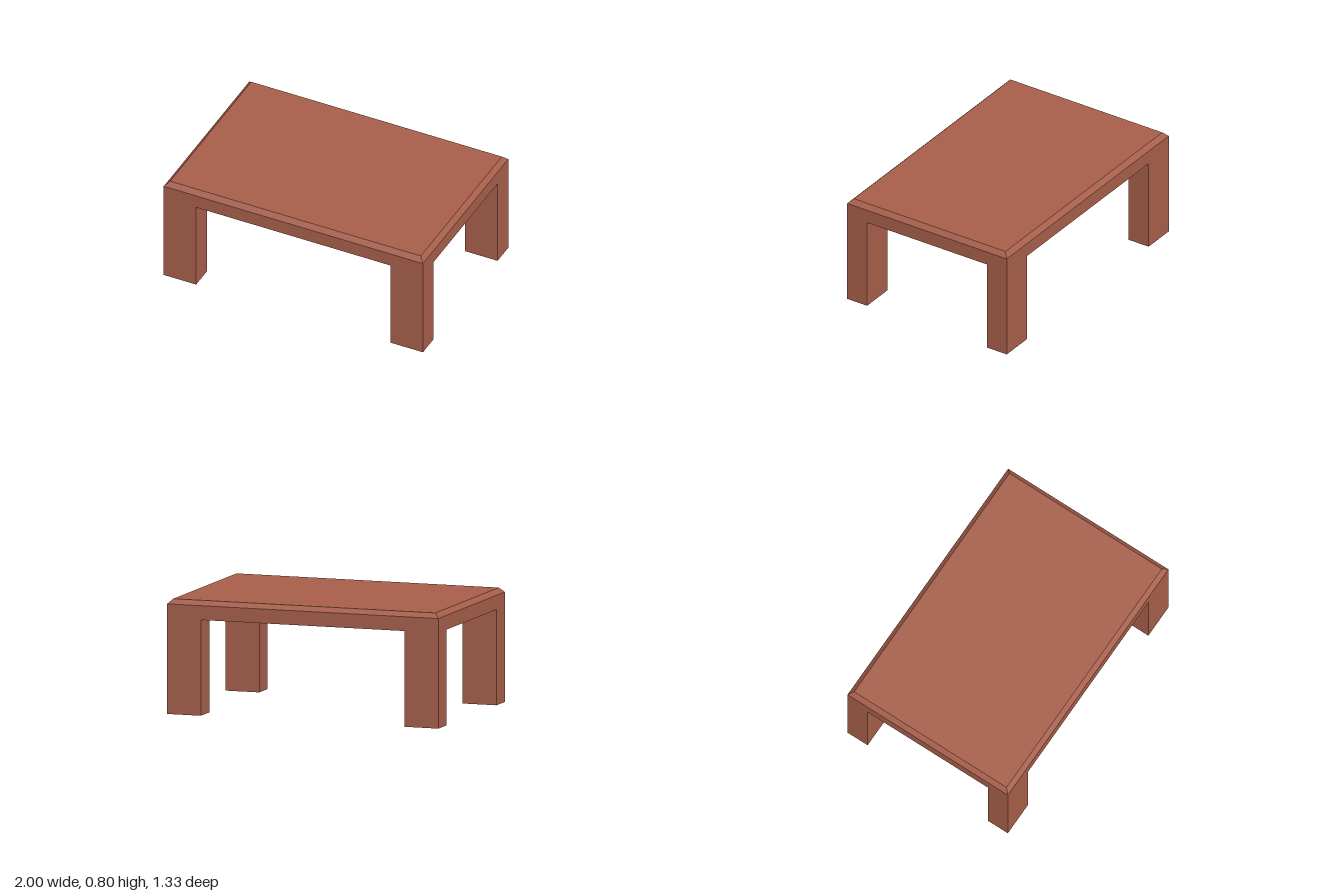
import * as THREE from 'three';

const HALF_X = 1, HALF_Z = 0.667;
const UNDERSIDE = 0.67, EDGE = 0.77, TOP = 0.803, BEVEL = 0.033;
const LEG_X = 0.25, LEG_Z = 0.167;

// Slab with a bevelled upper rim: a box whose top row is pulled inwards
function tabletopGeometry() {
  const box = new THREE.BoxGeometry(2 * HALF_X, 2, 2 * HALF_Z, 1, 2, 1);
  const pos = box.attributes.position;
  for (let i = 0; i < pos.count; i++) {
    const row = Math.round(pos.getY(i)) + 1;
    const inset = row === 2 ? BEVEL : 0;
    pos.setXYZ(
      i,
      Math.sign(pos.getX(i)) * (HALF_X - inset),
      [UNDERSIDE, EDGE, TOP][row],
      Math.sign(pos.getZ(i)) * (HALF_Z - inset)
    );
  }
  const geometry = box.toNonIndexed();
  geometry.computeVertexNormals();
  return geometry;
}

export function createModel() {
  const table = new THREE.Group();
  table.name = 'table';
  const wood = new THREE.MeshStandardMaterial({ color: 0xa65e4a, flatShading: true });

  const tabletop = new THREE.Mesh(tabletopGeometry(), wood);
  tabletop.name = 'tabletop';
  table.add(tabletop);

  // Four square-cut legs, flush with the corners of the top
  const legGeometry = new THREE.BoxGeometry(LEG_X, UNDERSIDE, LEG_Z);
  for (const [side, sx] of [['Left', 1], ['Right', -1]]) {
    for (const [end, sz] of [['front', 1], ['back', -1]]) {
      const leg = new THREE.Mesh(legGeometry, wood);
      leg.name = `${end}${side}Leg`;
      leg.position.set(sx * (HALF_X - LEG_X / 2), UNDERSIDE / 2, sz * (HALF_Z - LEG_Z / 2));
      table.add(leg);
    }
  }
  return table;
}
